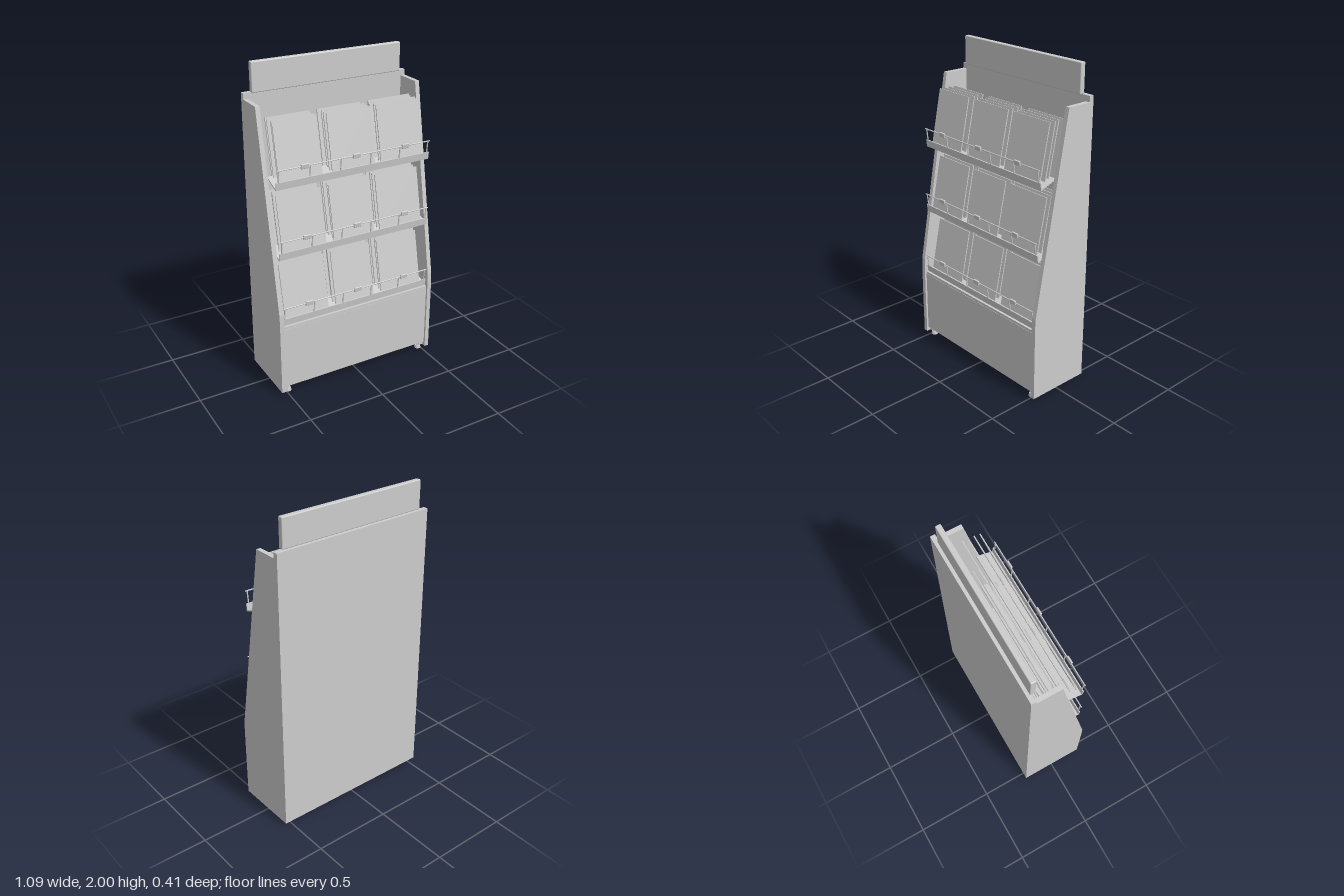
import * as THREE from 'three';
import { RoundedBoxGeometry } from 'three/addons/geometries/RoundedBoxGeometry.js';

export function createModel() {
  const grey = new THREE.MeshStandardMaterial({ color: 0xcccccc });
  grey.name = 'lightGrey';
  const model = new THREE.Group();
  model.name = 'displayStand';

  const add = (parent, name, geometry, x = 0, y = 0, z = 0) => {
    const mesh = new THREE.Mesh(geometry, grey);
    mesh.name = name;
    mesh.position.set(x, y, z);
    parent.add(mesh);
    return mesh;
  };
  // Box given by its limits on each axis
  const box = (parent, name, x0, x1, y0, y1, z0, z1) =>
    add(parent, name, new THREE.BoxGeometry(x1 - x0, y1 - y0, z1 - z0),
      (x0 + x1) / 2, (y0 + y1) / 2, (z0 + z1) / 2);

  // Slanted side panels: the outline is drawn in (z, y) and extruded along x
  const outline = [[-0.177, 0.02], [0.207, 0.02], [0.207, 0.5], [0.204, 0.565],
    [-0.018, 1.785], [-0.177, 1.785]];
  const sideShape = new THREE.Shape(outline.map(([z, y]) => new THREE.Vector2(-z, y)));
  const sideGeometry = new THREE.ExtrudeGeometry(sideShape, { depth: 0.028, bevelEnabled: false });
  sideGeometry.rotateY(Math.PI / 2);
  add(model, 'leftSide', sideGeometry, 0.515);
  add(model, 'rightSide', sideGeometry, -0.543);

  // Carcass and header
  box(model, 'backPanel', -0.543, 0.543, 0.02, 1.82, -0.207, -0.177);
  box(model, 'frontPanel', -0.515, 0.515, 0.068, 0.456, 0.172, 0.194);
  box(model, 'cabinetTop', -0.515, 0.515, 0.456, 0.472, -0.177, 0.192);
  box(model, 'basePlate', -0.515, 0.515, 0.048, 0.068, -0.177, 0.194);
  for (const s of [-1, 1])
    add(model, 'baseBatten', new THREE.BoxGeometry(0.025, 0.046, 0.36), s * 0.5025, 0.045, 0);
  box(model, 'backBatten', -0.49, 0.49, 0.022, 0.048, -0.177, -0.155);
  add(model, 'headerBoard', new RoundedBoxGeometry(0.99, 0.18, 0.034, 2, 0.006), -0.003, 1.91, -0.171);

  // Feet
  const footGeometry = new THREE.CylinderGeometry(0.018, 0.022, 0.02, 20);
  const stemGeometry = new THREE.CylinderGeometry(0.009, 0.009, 0.03, 12);
  for (const x of [-0.485, 0.485]) for (const z of [-0.162, 0.165]) {
    add(model, 'foot', footGeometry, x, 0.01, z);
    add(model, 'footStem', stemGeometry, x, 0.034, z);
  }

  // Trays with wire rail, tags and leaning booklets
  const railGeometry = new THREE.CylinderGeometry(0.004, 0.004, 1.02, 8).rotateZ(Math.PI / 2);
  const postGeometry = new THREE.CylinderGeometry(0.004, 0.004, 0.08, 8);
  const tagGeometry = new RoundedBoxGeometry(0.05, 0.03, 0.012, 2, 0.004);
  const rows = [
    { y: 0.475, z: 0.176, books: [[-0.485, -0.188], [-0.137, 0.135], [0.19, 0.482]] },
    { y: 0.907, z: 0.163, books: [[-0.482, -0.192], [-0.14, 0.14], [0.18, 0.482]] },
    { y: 1.341, z: 0.15, books: [[-0.482, -0.205], [-0.142, 0.145], [0.188, 0.48]] },
  ];
  const jitter = [0, 0.006, -0.004, 0.009];
  const lean = Math.atan2(0.07, 0.335);

  rows.forEach(({ y, z, books }, r) => {
    const tray = new THREE.Group();
    tray.name = 'tray';
    tray.position.set(0, y, z);
    model.add(tray);

    // Sloping floor
    const floor = add(tray, 'trayFloor', new THREE.BoxGeometry(1.028, 0.007, 0.118), 0, 0.022, -0.054);
    floor.rotation.x = Math.atan2(0.04, 0.11);

    // Lip and rail tilt slightly outwards
    const front = new THREE.Group();
    front.name = 'trayFront';
    front.rotation.x = 0.12;
    tray.add(front);
    add(front, 'trayLip', new THREE.BoxGeometry(1.028, 0.046, 0.007), 0, 0.023, 0);
    add(front, 'rail', railGeometry, 0, 0.12, 0);
    for (const x of [-0.498, -0.3, -0.1, 0.1, 0.3, 0.498])
      add(front, 'railPost', postGeometry, x, 0.08, 0);
    for (const x of [-0.337, 0, 0.335])
      add(front, 'tag', tagGeometry, x, 0.12, 0.002);

    // Four booklets per stack
    books.forEach(([x0, x1], s) => {
      for (let i = 0; i < 4; i++) {
        const shift = jitter[(i + (i ? s + r : 0)) % 4];
        const book = add(tray, 'booklet', new THREE.BoxGeometry(x1 - x0, 0.34, 0.007),
          (x0 + x1) / 2 + (i ? shift : 0), 0.197, -0.055 - i * 0.035);
        book.rotation.x = -lean;
      }
    });
  });
  return model;
}
